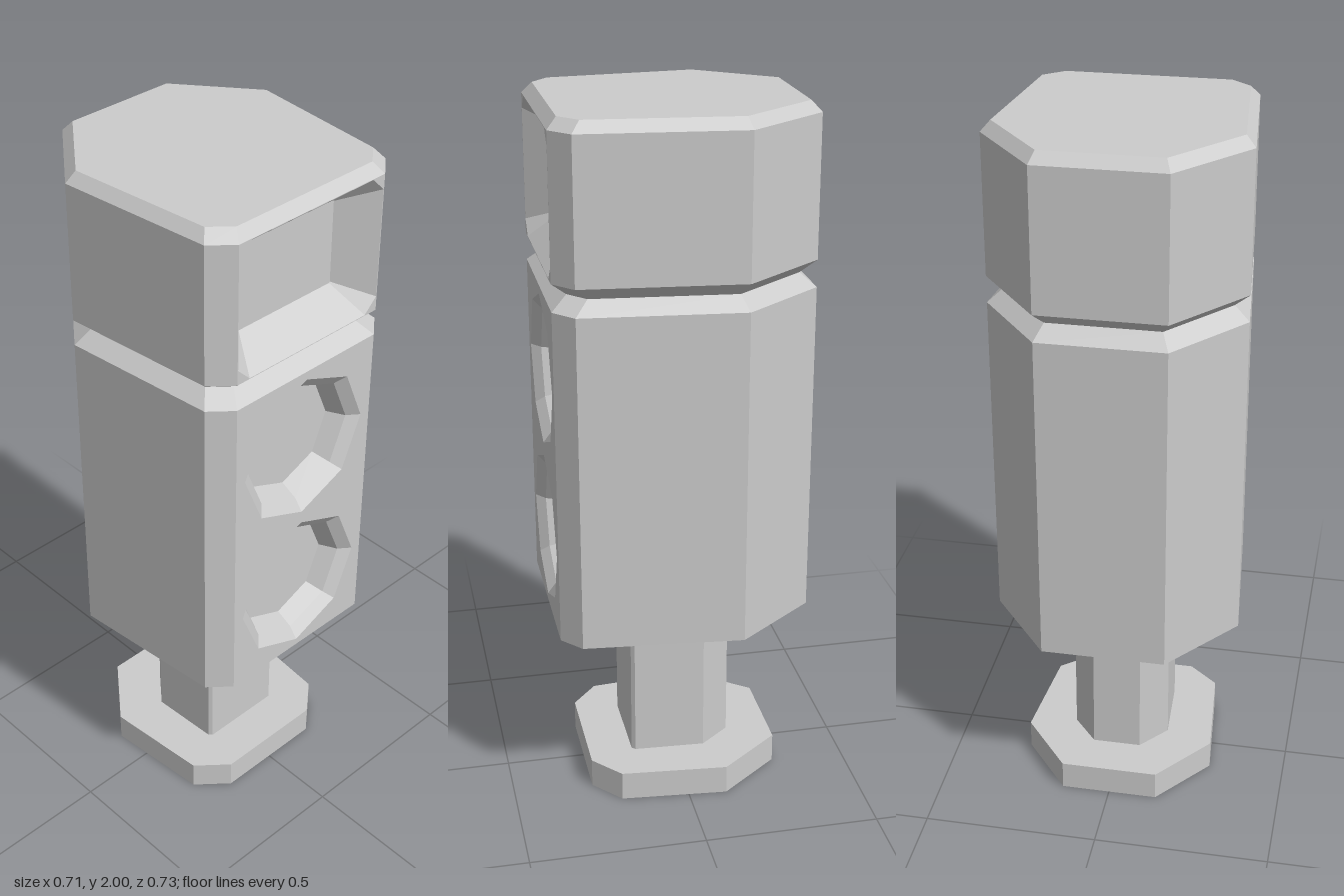
import * as THREE from 'three';

const FRONT = 0.363;
const material = new THREE.MeshStandardMaterial({ color: 0xcccccc, flatShading: true });

// Skin a list of rings (arrays of Vector3, counterclockwise); skip holds "ring:side" panels left open
function loft(name, rings, { capStart = false, capEnd = false, skip = [] } = {}) {
  const pos = [];
  const tri = (...pts) => pts.forEach((p) => pos.push(p.x, p.y, p.z));
  const n = rings[0].length;
  for (let r = 0; r < rings.length - 1; r++) {
    for (let i = 0; i < n; i++) {
      if (skip.includes(`${r}:${i}`)) continue;
      const j = (i + 1) % n;
      const [a, b, c, d] = [rings[r][i], rings[r][j], rings[r + 1][j], rings[r + 1][i]];
      tri(a, b, c);
      tri(a, c, d);
    }
  }
  const first = rings[0], last = rings[rings.length - 1];
  for (let i = 1; i < n - 1; i++) {
    if (capStart) tri(first[0], first[i + 1], first[i]);
    if (capEnd) tri(last[0], last[i], last[i + 1]);
  }
  const geometry = new THREE.BufferGeometry();
  geometry.setAttribute('position', new THREE.Float32BufferAttribute(pos, 3));
  geometry.computeVertexNormals();
  const mesh = new THREE.Mesh(geometry, material);
  mesh.name = name;
  return mesh;
}

// Horizontal eight-sided ring, mirrored from its +x half (front to back)
function section(half, y, scale = 1) {
  const all = [...half, ...half.map(([x, z]) => [-x, z]).reverse()];
  return all.map(([x, z]) => new THREE.Vector3(x * scale, y, z * scale));
}

// Upright rectangle with cut corners
function cutRect(w, y0, y1, c, z) {
  return [[-w + c, y0], [w - c, y0], [w, y0 + c], [w, y1 - c],
    [w - c, y1], [-w + c, y1], [-w, y1 - c], [-w, y0 + c]]
    .map(([x, y]) => new THREE.Vector3(x, y, z));
}

// Upright octagon with a corner at the top
function octagon(cy, r, z) {
  return Array.from({ length: 8 }, (_, i) => {
    const a = (i * Math.PI) / 4;
    return new THREE.Vector3(r * Math.cos(a), cy + r * Math.sin(a), z);
  });
}

// Flat front panel pierced by the recess openings
function frontPanel(name, y0, y1, openings) {
  const flat = (pts) => pts.map((p) => new THREE.Vector2(p.x, p.y));
  const shape = new THREE.Shape(flat(cutRect(0.25, y0, y1, 0, 0).filter((_, i) => i % 2 === 0)));
  openings.forEach((ring) => shape.holes.push(new THREE.Path(flat(ring))));
  const mesh = new THREE.Mesh(new THREE.ShapeGeometry(shape), material);
  mesh.position.z = FRONT;
  mesh.name = name;
  return mesh;
}

export function createModel() {
  const model = new THREE.Group();
  model.name = 'meterPost';

  const bodyHalf = [[0.25, FRONT], [0.311, 0.31], [0.353, -0.138], [0.175, -0.365]];
  const stemHalf = [[0.122, 0.143], [0.131, 0.133], [0.142, -0.07], [0.07, -0.157]];
  const baseHalf = [[0.165, 0.27], [0.252, 0.195], [0.279, -0.11], [0.14, -0.285]];

  // Foot and stem
  model.add(loft('base', [section(baseHalf, 0), section(baseHalf, 0.085)], { capStart: true, capEnd: true }));
  model.add(loft('stem', [section(stemHalf, 0.08), section(stemHalf, 0.49)]));

  // Housing: flared underside, body, pinched waist, head and bevelled top
  model.add(loft('housing', [
    section(stemHalf, 0.488),
    section(bodyHalf, 0.545, 0.78),
    section(bodyHalf, 0.545),
    section(bodyHalf, 1.5),
    section(bodyHalf, 1.538, 0.88),
    section(bodyHalf, 1.576),
    section(bodyHalf, 1.97),
    section(bodyHalf, 2, 0.925),
  ], { capEnd: true, skip: ['2:7', '5:7'] }));

  // Two stepped octagonal recesses in the body
  const dials = [1.257, 0.783].map((cy) => [
    octagon(cy, 0.218, FRONT),
    octagon(cy, 0.185, FRONT - 0.025),
    octagon(cy, 0.16, FRONT - 0.075),
  ]);
  dials.forEach((rings, i) => model.add(loft(i ? 'lowerDial' : 'upperDial', rings, { capEnd: true })));
  model.add(frontPanel('bodyFront', 0.545, 1.5, dials.map((rings) => rings[0])));

  // Sloped window recess in the head
  const window = [
    cutRect(0.248, 1.578, 1.968, 0.04, FRONT),
    cutRect(0.165, 1.655, 1.895, 0.003, FRONT - 0.088),
  ];
  model.add(loft('headWindow', window, { capEnd: true }));
  model.add(frontPanel('headFront', 1.576, 1.97, [window[0]]));

  return model;
}
